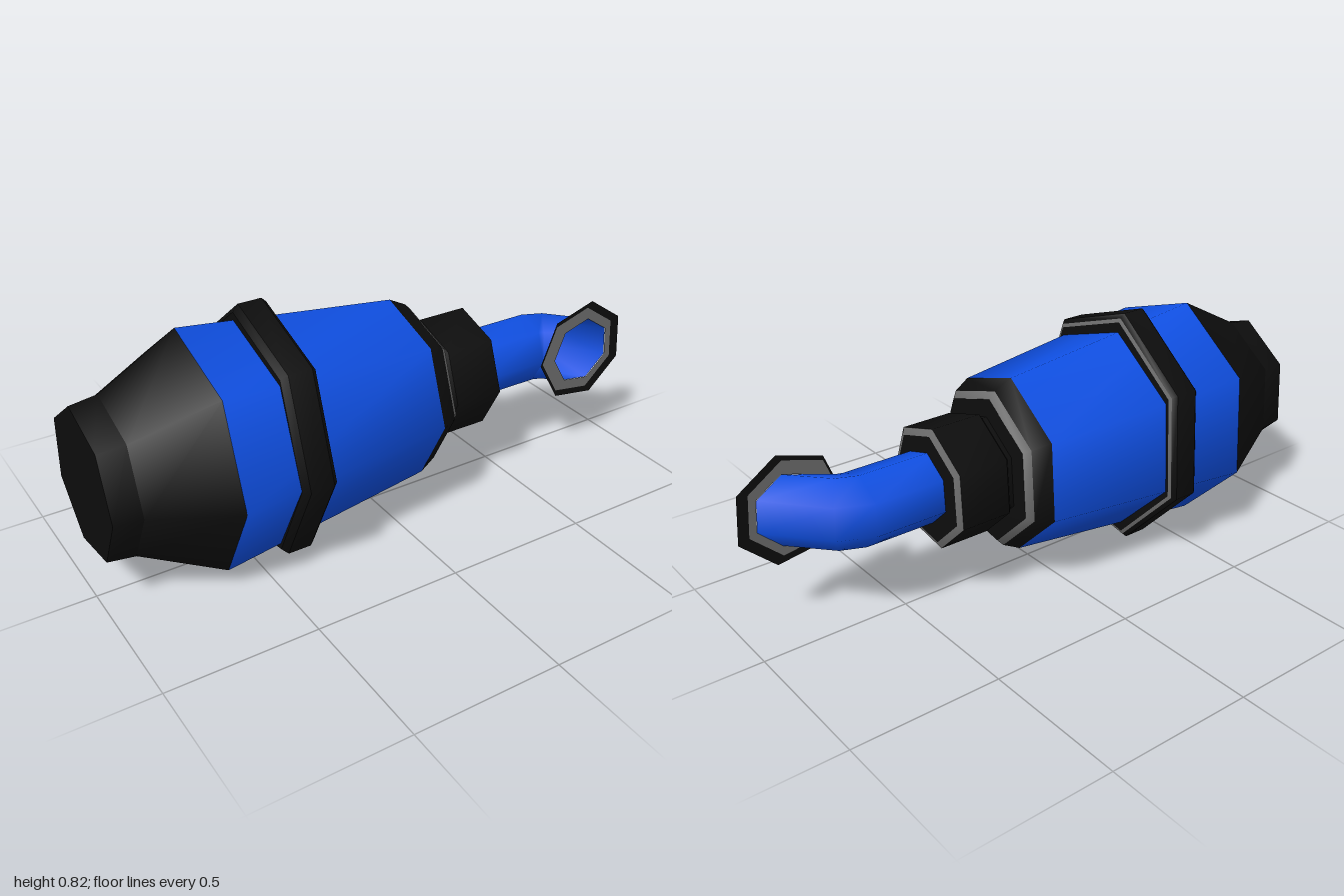
import * as THREE from 'three';

const SIDES = 7;
const START = -0.152; // turn of the first corner away from straight up
const CY = 0.408, CZ = -0.014;

// Skin one band between two rings; each band shades smoothly around, with sharp ends.
function loft(rings) {
  const pos = [], index = [];
  for (const r of rings) {
    for (let k = 0; k < SIDES; k++) {
      const t = START + k * Math.PI * 2 / SIDES, c = Math.cos(t), s = Math.sin(t);
      pos.push(r.x + s * r.dx, r.y + c * r.ry, r.z + s * r.dz);
    }
  }
  for (let i = 0; i < rings.length - 1; i++) {
    for (let k = 0; k < SIDES; k++) {
      const a = i * SIDES + k, b = i * SIDES + (k + 1) % SIDES;
      index.push(a, b, a + SIDES, b, b + SIDES, a + SIDES);
    }
  }
  const g = new THREE.BufferGeometry();
  g.setAttribute('position', new THREE.Float32BufferAttribute(pos, 3));
  g.setIndex(index);
  g.computeVertexNormals();
  return g;
}

// Seven-sided outline for the flange plates
function outline(Type, x, y, r) {
  const pts = [];
  for (let k = 0; k < SIDES; k++) {
    const t = START + k * Math.PI * 2 / SIDES;
    pts.push(new THREE.Vector2(x - r * Math.sin(t), y + r * Math.cos(t)));
  }
  return new Type(pts);
}

export function createModel() {
  const group = new THREE.Group();
  const make = (name, color) => {
    const m = new THREE.MeshStandardMaterial({ color, side: THREE.DoubleSide });
    m.name = name;
    return m;
  };
  const blue = make('blue', 0x0f4fe2);
  const black = make('black', 0x0d0d0d);
  const grey = make('grey', 0x6c6c6c);

  const add = (name, geometry, material, parent = group) => {
    const mesh = new THREE.Mesh(geometry, material);
    mesh.name = name;
    parent.add(mesh);
  };

  // Profile rows: x, height radius, depth radius, colour of the band leading to the row
  const turned = (name, rows) => {
    const part = new THREE.Group();
    part.name = name;
    const ring = ([x, ry, rz]) => ({ x, y: CY, z: CZ, ry, dx: 0, dz: rz });
    for (let i = 1; i < rows.length; i++) {
      add(`${name}Band${i}`, loft([ring(rows[i - 1]), ring(rows[i])]), rows[i][3], part);
    }
    group.add(part);
  };

  // Main canister with dark tail and shoulder
  turned('canister', [
    [-0.99, 0, 0],
    [-0.99, 0.247, 0.231, black],
    [-0.9, 0.258, 0.242, black],
    [-0.64, 0.396, 0.368, black],
    [0.11, 0.306, 0.285, blue],
    [0.17, 0.275, 0.257, black],
    [0.19, 0.252, 0.235, grey],
    [0.195, 0.19, 0.178, black],
    [0.22, 0.19, 0.178, black],
  ]);

  // Raised clamp around the canister
  turned('clamp', [
    [-0.45, 0.34, 0.32],
    [-0.45, 0.4, 0.348, black],
    [-0.43, 0.422, 0.368, black],
    [-0.35, 0.422, 0.368, black],
    [-0.335, 0.407, 0.355, black],
    [-0.33, 0.394, 0.344, grey],
    [-0.328, 0.34, 0.32, black],
  ]);

  // Coupling between canister and pipe
  turned('coupling', [
    [0.21, 0.14, 0.13],
    [0.21, 0.187, 0.177, black],
    [0.225, 0.208, 0.197, black],
    [0.4, 0.208, 0.197, black],
    [0.41, 0.184, 0.174, grey],
    [0.412, 0.1, 0.095, black],
  ]);

  // Pipe bending towards the front
  const y = 0.41, ry = 0.122;
  add('pipe', loft([
    { x: 0.38, y, z: -0.01, ry, dx: 0, dz: 0.118 },
    { x: 0.65, y, z: -0.01, ry, dx: 0, dz: 0.118 },
    { x: 0.71, y, z: 0.015, ry, dx: -0.06, dz: 0.09 },
    { x: 0.81, y, z: 0.12, ry, dx: -0.122, dz: 0 },
  ]), blue);

  // Thin flange around the pipe mouth
  const flange = new THREE.Group();
  flange.name = 'flange';
  flange.position.z = 0.123;
  const rim = outline(THREE.Shape, 0.812, y, 0.187);
  rim.holes.push(outline(THREE.Path, 0.797, y + 0.003, 0.163));
  add('flangeRim', new THREE.ShapeGeometry(rim), black, flange);
  const inner = outline(THREE.Shape, 0.797, y + 0.003, 0.163);
  inner.holes.push(outline(THREE.Path, 0.81, y, 0.121));
  add('flangeFace', new THREE.ShapeGeometry(inner), grey, flange);
  group.add(flange);

  return group;
}
